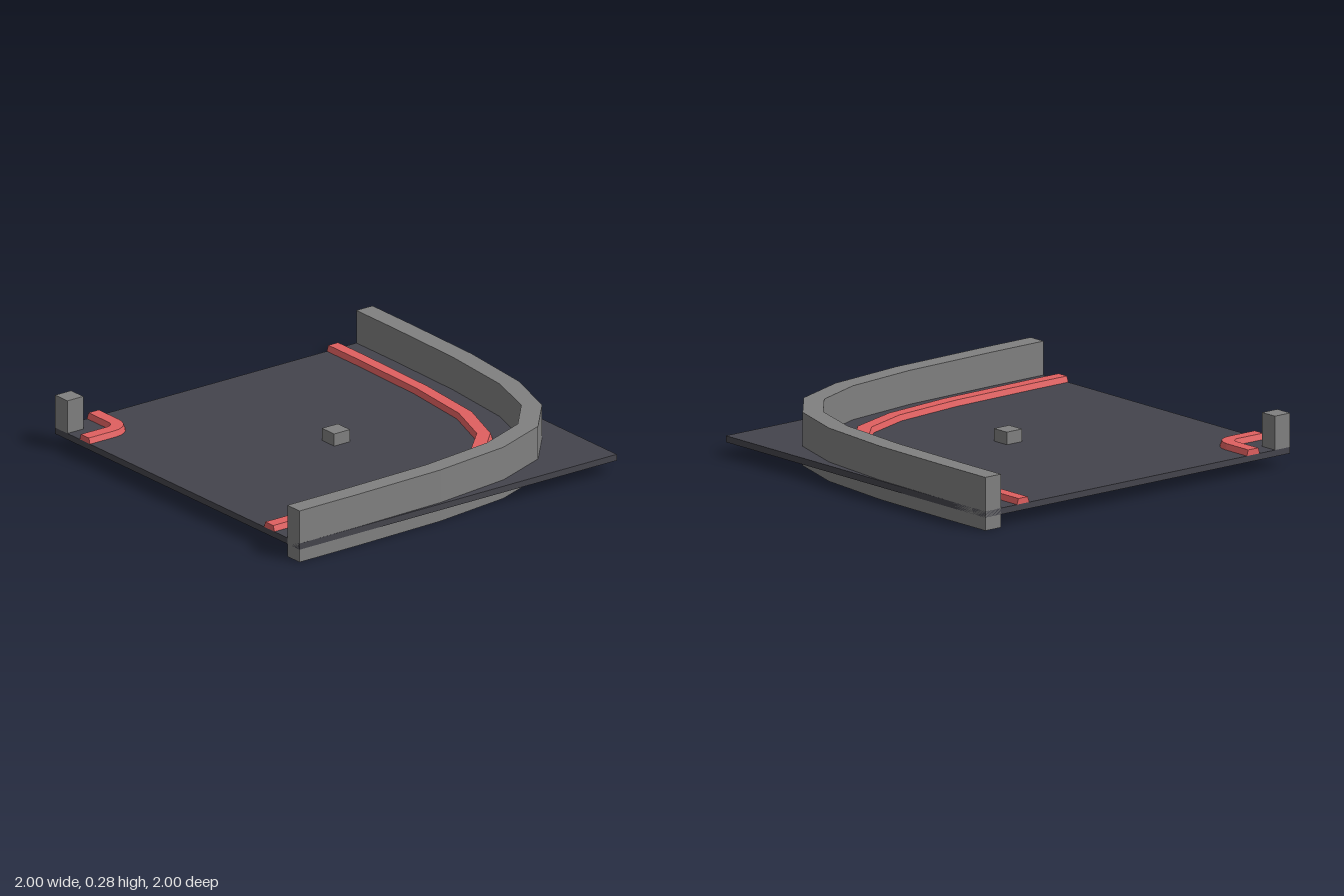
import * as THREE from 'three';

const paint = (color) => new THREE.MeshStandardMaterial({ color, flatShading: true, side: THREE.DoubleSide });

// Sweeps a section, open underneath, between an inner and an outer [x, z] line;
// bevel moves the top edges inwards.
function strip(inner, outer, y0, y1, bevel = 0) {
  const sections = inner.map(([ix, iz], i) => {
    const [ox, oz] = outer[i];
    const t = bevel / Math.hypot(ox - ix, oz - iz);
    const dx = (ox - ix) * t, dz = (oz - iz) * t;
    return [[ix, y0, iz], [ix + dx, y1, iz + dz], [ox - dx, y1, oz - dz], [ox, y0, oz]];
  });
  const pos = [];
  const quad = (a, b, c, d) => pos.push(...a, ...b, ...c, ...a, ...c, ...d);
  for (let i = 0; i < sections.length - 1; i++) {
    const s = sections[i], n = sections[i + 1];
    for (let j = 0; j < 3; j++) quad(s[j], s[j + 1], n[j + 1], n[j]);
  }
  quad(...[...sections[0]].reverse());
  quad(...sections[sections.length - 1]);
  const g = new THREE.BufferGeometry();
  g.setAttribute('position', new THREE.Float32BufferAttribute(pos, 3));
  g.computeVertexNormals();
  return g;
}

// Quarter turn from facing +z to facing +x
function bend(cx, cz, r, steps) {
  const pts = [];
  for (let i = 0; i <= steps; i++) {
    const a = (i / steps) * Math.PI / 2;
    pts.push([cx + r * Math.sin(a), cz + r * Math.cos(a)]);
  }
  return pts;
}

export function createModel() {
  const model = new THREE.Group();
  const asphalt = paint(0x44444c), red = paint(0xe06060), concrete = paint(0x808080);
  const add = (name, geometry, material) => {
    const mesh = new THREE.Mesh(geometry, material);
    mesh.name = name;
    model.add(mesh);
    return mesh;
  };

  // Square road slab
  add('roadSlab', new THREE.BoxGeometry(2, 0.033, 2), asphalt).position.y = 0.0835;

  // Barrier wall around the outside of the bend
  const wallOuter = [[-1, 1], [-0.63, 0.998], [-0.1, 0.985], [0.34, 0.93], [0.65, 0.81],
    [0.845, 0.59], [0.95, 0.265], [0.993, -0.18], [1, -0.69], [1, -1]];
  const wallInner = [[-1, 0.9], [-0.64, 0.898], [-0.11, 0.885], [0.31, 0.832], [0.59, 0.722],
    [0.76, 0.53], [0.852, 0.235], [0.89, -0.2], [0.898, -0.69], [0.898, -1]];
  add('barrierWall', strip(wallInner, wallOuter, 0, 0.275), concrete);

  // Kerb along the outside of the bend
  const kerbOuter = [[-1, 0.795], [-0.79, 0.795], [-0.24, 0.785], [0.16, 0.74], [0.455, 0.638],
    [0.64, 0.45], [0.745, 0.16], [0.783, -0.25], [0.793, -0.75], [0.793, -1]];
  const kerbInner = [[-1, 0.71], [-0.8, 0.71], [-0.26, 0.7], [0.14, 0.657], [0.4, 0.565],
    [0.567, 0.4], [0.662, 0.13], [0.702, -0.27], [0.712, -0.75], [0.712, -1]];
  add('outerKerb', strip(kerbInner, kerbOuter, 0.1, 0.13, 0.01), red);

  // Small kerb around the inside corner
  const cornerOuter = [[-1, -0.715], ...bend(-0.835, -0.835, 0.12, 6), [-0.715, -1]];
  const cornerInner = [[-1, -0.8], ...bend(-0.835, -0.835, 0.035, 6), [-0.8, -1]];
  add('innerKerb', strip(cornerInner, cornerOuter, 0.1, 0.13, 0.01), red);

  // Post in the inside corner and block in the middle
  const block = (x, z, y0, y1) => strip(
    [[x - 0.05, z - 0.05], [x + 0.05, z - 0.05]],
    [[x - 0.05, z + 0.05], [x + 0.05, z + 0.05]], y0, y1);
  add('cornerPost', block(-0.95, -0.95, 0.1, 0.275), concrete);
  add('centreBlock', block(0, 0, 0, 0.165), concrete);

  return model;
}
